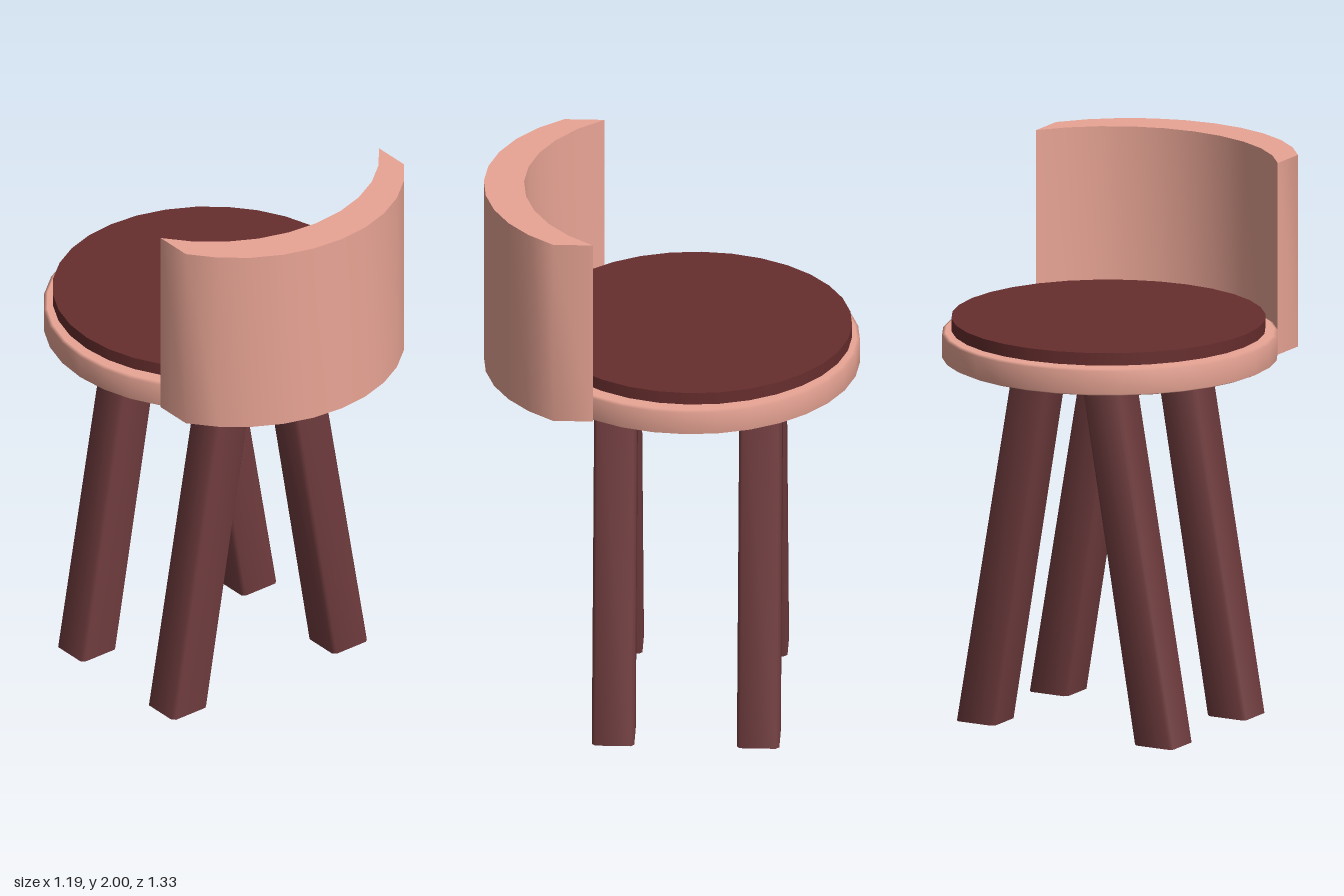
import * as THREE from 'three';
import { toCreasedNormals } from 'three/addons/utils/BufferGeometryUtils.js';

const SIDES = 32, R = 0.593, SEAT_Z = -0.072;

export function createModel() {
  const model = new THREE.Group();
  const shell = new THREE.MeshStandardMaterial({ color: 0xe9a595 });
  const fabric = new THREE.MeshStandardMaterial({ color: 0x672d2d });
  const wood = new THREE.MeshStandardMaterial({ color: 0x703c3e });

  const add = (name, geometry, material) => {
    const mesh = new THREE.Mesh(geometry, material);
    mesh.name = name;
    model.add(mesh);
    return mesh;
  };

  // Round seat plate with a slightly softened rim
  const rim = [[0, 1.305], [R - 0.015, 1.305], [R, 1.312], [R, 1.395], [R - 0.012, 1.402], [0, 1.402]];
  const seat = new THREE.LatheGeometry(rim.map(([x, y]) => new THREE.Vector2(x, y)), SIDES);
  add('seat', seat, shell).position.z = SEAT_Z;

  // Cushion disc just above the seat plate
  const cushion = new THREE.CylinderGeometry(0.555, 0.555, 0.045, SIDES);
  add('cushion', cushion, fabric).position.set(0, 1.4325, -0.082);

  // Backrest: a crescent between the seat's rim and the same arc moved outward
  const arc = (centre) => {
    const points = [];
    for (let i = -5; i <= 5; i++) {
      const a = (i / SIDES) * Math.PI * 2;
      points.push(new THREE.Vector2(R * Math.sin(a), centre + R * Math.cos(a)));
    }
    return points;
  };
  const crescent = new THREE.Shape([...arc(SEAT_Z), ...arc(0.07).reverse()]);
  const back = new THREE.ExtrudeGeometry(crescent, { depth: 0.695, bevelEnabled: false });
  back.rotateX(Math.PI / 2).translate(0, 2, 0);
  add('backrest', toCreasedNormals(back, 0.7), shell);

  // Legs: square posts with eased edges, splayed sideways and cut level at the floor
  const h = 0.075, e = 0.012, height = 1.31;
  const section = new THREE.Shape([
    [-h + e, -h], [h - e, -h], [h, -h + e], [h, h - e],
    [h - e, h], [-h + e, h], [-h, h - e], [-h, -h + e],
  ].map(([x, y]) => new THREE.Vector2(x, y)));
  for (const side of [-1, 1]) {
    for (const [z, end] of [[0.19, 'back'], [-0.322, 'front']]) {
      const leg = new THREE.ExtrudeGeometry(section, { depth: height, bevelEnabled: false });
      leg.rotateX(-Math.PI / 2);
      const p = leg.attributes.position;
      for (let i = 0; i < p.count; i++) {
        const t = p.getY(i) / height;
        const x = p.getX(i) * (1.05 - 0.06 * t) + side * (0.363 - 0.224 * t);
        p.setXYZ(i, x, p.getY(i), p.getZ(i) + z);
      }
      add(end + (side > 0 ? 'LeftLeg' : 'RightLeg'), toCreasedNormals(leg, 0.9), wood);
    }
  }
  return model;
}
